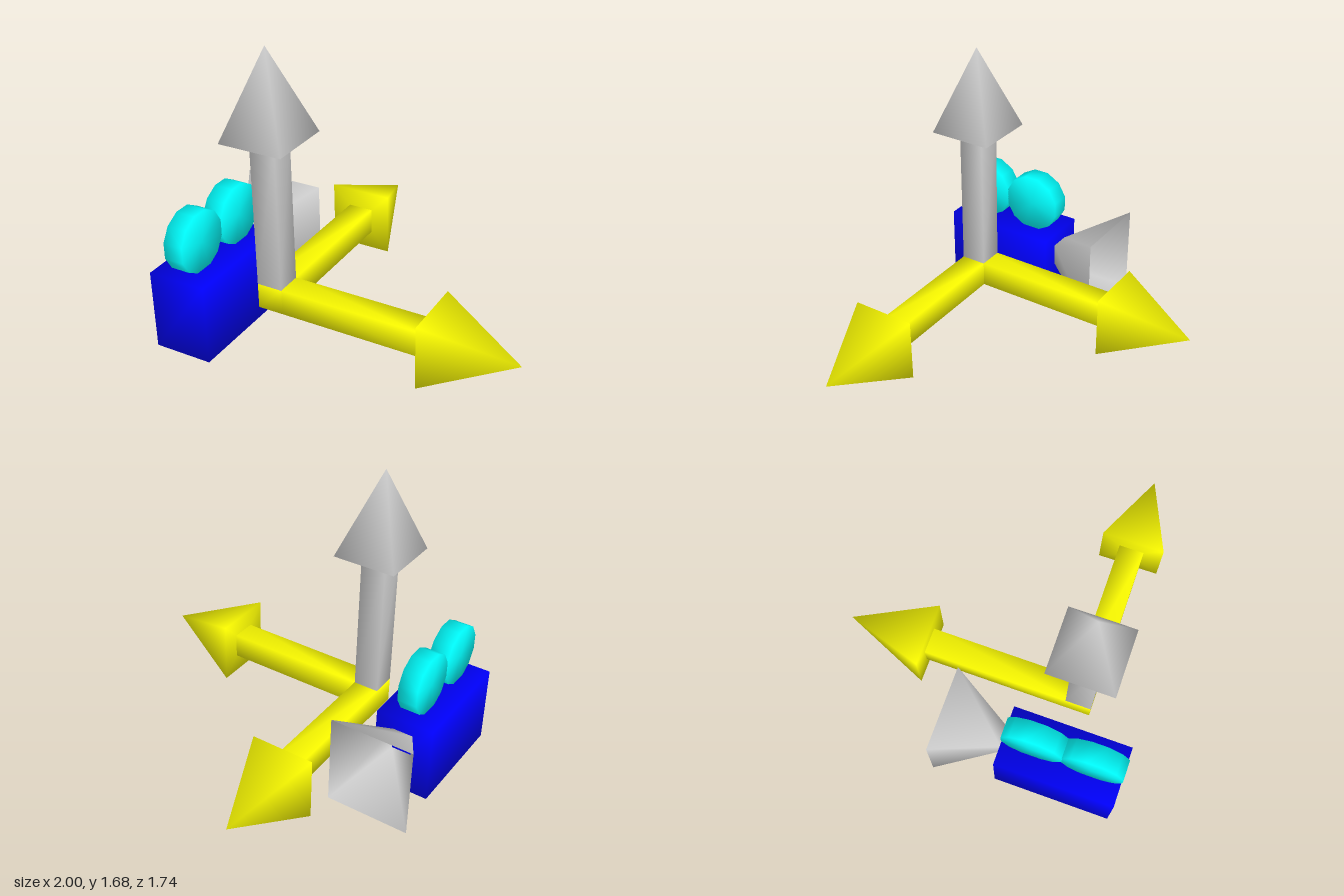
import * as THREE from 'three';
import { mergeVertices } from 'three/addons/utils/BufferGeometryUtils.js';

const material = (color, side = THREE.FrontSide) => new THREE.MeshStandardMaterial({ color, side });
const grey = material(0xcccccc);
const yellow = material(0xffff00);
const blue = material(0x0000ff);
const cyan = material(0x00ffff);

// Weld the corners so normals run smoothly over every edge
function smooth(geometry) {
  geometry.deleteAttribute('uv');
  geometry.deleteAttribute('normal');
  const welded = mergeVertices(geometry, 1e-4);
  welded.computeVertexNormals();
  return welded;
}

function addPart(parent, name, geometry, mat, x = 0, y = 0, z = 0) {
  const mesh = new THREE.Mesh(smooth(geometry), mat);
  mesh.name = name;
  mesh.position.set(x, y, z);
  parent.add(mesh);
  return mesh;
}

// Square-sided frustum along y, given half widths
function squareFrustum(top, bottom, height, open = false) {
  return new THREE.CylinderGeometry(top * Math.SQRT2, bottom * Math.SQRT2, height, 4, 1, open, Math.PI / 4);
}

// Arrow pointing along its own +y, with a square shaft and pyramid head
function createArrow(name, mat, start) {
  const half = 0.0725, neck = 0.905, headLength = 0.48;
  const arrow = new THREE.Group();
  arrow.name = name;
  const length = neck - start;
  addPart(arrow, 'shaft', new THREE.BoxGeometry(2 * half, length, 2 * half), mat, 0, start + length / 2, 0);
  addPart(arrow, 'head', squareFrustum(0, 0.18, headLength), mat, 0, neck + headLength / 2, 0);
  arrow.position.set(-0.385, 0.3, 0.515);
  return arrow;
}

export function createModel() {
  const model = new THREE.Group();
  model.name = 'cameraWithAxes';

  // Three axis arrows meeting at one corner
  const up = createArrow('upArrow', grey, 0.0725);
  const side = createArrow('sideArrow', yellow, 0.0725);
  side.rotation.z = -Math.PI / 2;
  const back = createArrow('backArrow', yellow, -0.0725);
  back.rotation.x = -Math.PI / 2;
  model.add(up, side, back);

  // Film camera body
  const camera = new THREE.Group();
  camera.name = 'filmCamera';
  model.add(camera);
  addPart(camera, 'body', new THREE.BoxGeometry(0.335, 0.455, 0.675), blue, -0.767, 0.2275, 0.53);

  // Two twelve-sided film reels
  for (const [name, z] of [['frontReel', 0.699], ['backReel', 0.366]]) {
    const reel = new THREE.CylinderGeometry(0.174, 0.174, 0.112, 12, 1, false, Math.PI / 12);
    reel.rotateZ(Math.PI / 2);
    addPart(camera, name, reel, cyan, -0.767, 0.617, z);
  }

  // Flared lens hood, open at both ends
  const hood = squareFrustum(0.06, 0.25, 0.347, true);
  hood.rotateX(Math.PI / 2);
  hood.scale(0.95, 1.05, 1);
  addPart(camera, 'lensHood', hood, material(0xcccccc, THREE.DoubleSide), -0.7625, 0.317, 0.019);

  return model;
}
